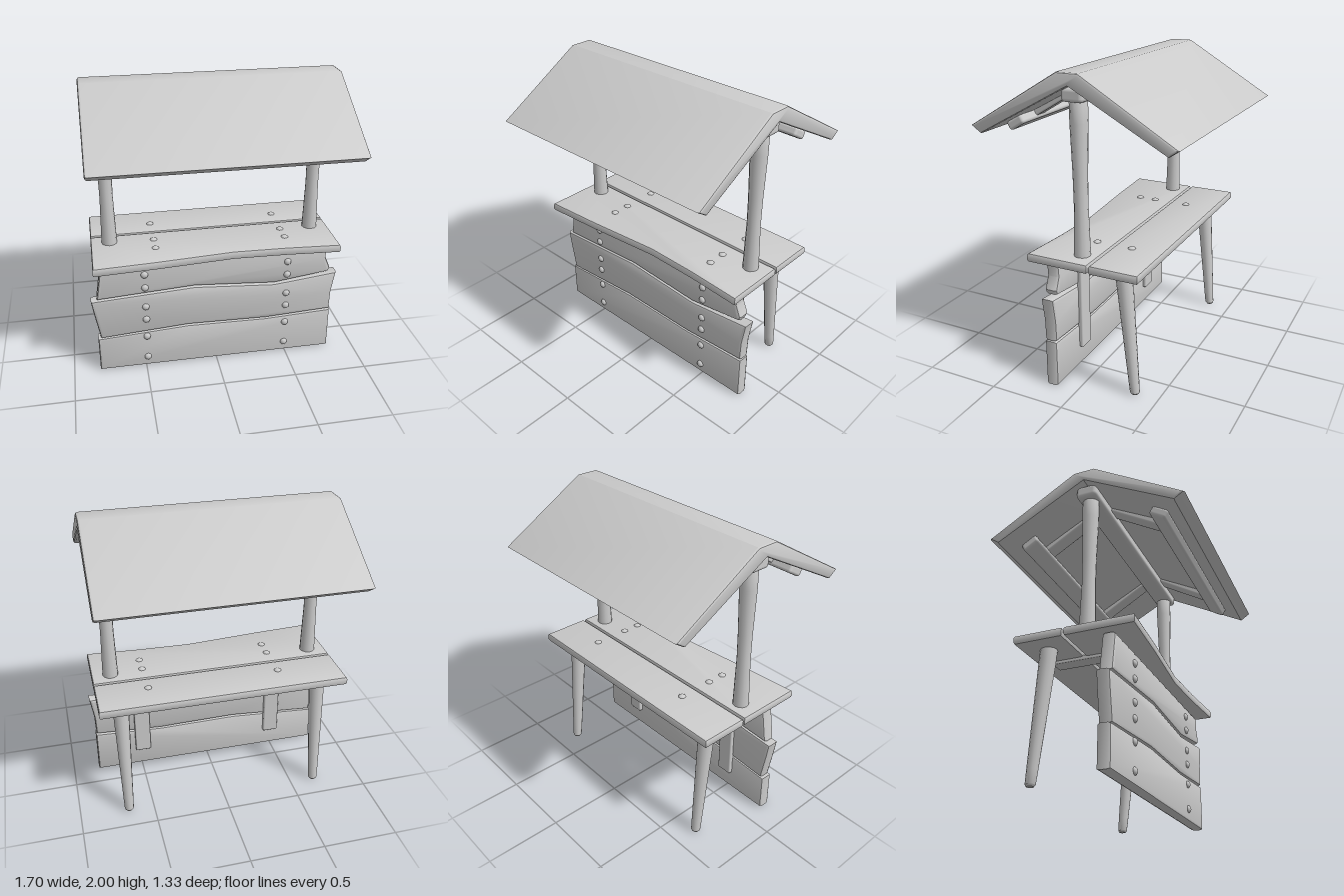
import * as THREE from 'three';
import { toCreasedNormals } from 'three/addons/utils/BufferGeometryUtils.js';
import { RoundedBoxGeometry } from 'three/addons/geometries/RoundedBoxGeometry.js';

const material = new THREE.MeshStandardMaterial({ color: 0xcccccc });

// Bevelled slab cut from an outline, centred on its thickness
function slab(points, thickness, bevel) {
  const shape = new THREE.Shape(points.map(([a, b]) => new THREE.Vector2(a, b)));
  const depth = thickness - 2 * bevel;
  return new THREE.ExtrudeGeometry(shape, {
    depth, bevelThickness: bevel, bevelSize: bevel, bevelOffset: -bevel, bevelSegments: 2,
  }).translate(0, 0, -depth / 2);
}

// Round timber turned from [radius, height] pairs
function turned(profile) {
  const points = profile.map(([r, y]) => new THREE.Vector2(r, y));
  return new THREE.LatheGeometry(points, 12);
}

export function createModel() {
  const model = new THREE.Group();

  function add(name, geometry, x = 0, y = 0, z = 0, rotX = 0, crease = 0.6) {
    const mesh = new THREE.Mesh(crease ? toCreasedNormals(geometry, crease) : geometry, material);
    mesh.name = name;
    mesh.position.set(x, y, z);
    mesh.rotation.x = rotX;
    model.add(mesh);
    return mesh;
  }
  const beam = (name, w, h, d, r, x, y, z, rotX = 0) =>
    add(name, new RoundedBoxGeometry(w, h, d, 2, r), x, y, z, rotX, 0);

  // Domed nail heads
  const nailGeometry = new THREE.SphereGeometry(0.025, 10, 8);
  const nail = (name, x, y, z, facesUp) => {
    const mesh = add(name, nailGeometry, x, y, z, 0, 0);
    mesh.scale.set(1, facesUp ? 0.6 : 1, facesUp ? 1 : 0.8);
  };

  // Folded roof
  const roof = slab([
    [-0.60, 1.6], [0, 1.96], [0.60, 1.6],
    [0.665, 1.645], [0.07, 2], [-0.07, 2], [-0.665, 1.645],
  ].map(([z, y]) => [z, y === 1.96 ? 1.925 : y]), 1.64, 0.015);
  add('roof', roof.rotateY(-Math.PI / 2));

  // Ridge beam and roof framing
  beam('ridgeBeam', 1.56, 0.085, 0.14, 0.025, 0, 1.87, 0);
  const slope = Math.atan2(0.355, 0.59);
  for (const side of [1, -1]) {
    beam('purlin', 1.36, 0.06, 0.12, 0.018, 0, 1.652, side * 0.45, side * slope);
    for (const x of [-0.48, 0.48])
      beam('rafter', 0.1, 0.04, 0.46, 0.01, x, 1.768, side * 0.27, side * slope);
  }

  // Posts and splayed back legs
  const post = turned([[0, 0.85], [0.052, 0.85], [0.051, 0.92], [0.043, 1.22],
    [0.045, 1.4], [0.054, 1.7], [0.054, 1.83], [0.045, 1.845], [0, 1.845]]);
  const leg = turned([[0, 0], [0.022, 0], [0.031, 0.012], [0.034, 0.1], [0.052, 0.76], [0.053, 0.84], [0, 0.84]]);
  const p = leg.attributes.position;
  for (let i = 0; i < p.count; i++) p.setZ(i, p.getZ(i) - 0.34 + 0.09 * p.getY(i));
  for (const x of [-0.695, 0.695]) add('post', post, x);
  for (const x of [-0.67, 0.67]) add('backLeg', leg, x);

  // Countertop planks, the front one with a wavy edge; outlines in x, z
  const planks = {
    counterFrontPlank: [[-0.82, -0.095], [-0.82, 0.35], [-0.42, 0.325], [0.1, 0.28], [0.45, 0.29], [0.82, 0.315], [0.82, -0.095]],
    counterBackPlank: [[-0.82, -0.425], [-0.82, -0.108], [0.82, -0.108], [0.82, -0.425]],
  };
  for (const [name, outline] of Object.entries(planks)) {
    const shape = outline.map(([x, z]) => [x, -z]);
    add(name, slab(shape, 0.06, 0.016).rotateX(-Math.PI / 2), 0, 0.86, 0);
  }

  // Front boards, outlines in x, y
  const boards = {
    lowerBoard: [[-0.82, 0.005], [0.82, 0.005], [0.82, 0.315], [0.35, 0.293], [-0.2, 0.302], [-0.82, 0.262]],
    middleBoard: [[-0.8, 0.265], [-0.2, 0.308], [0.35, 0.297], [0.815, 0.322], [0.82, 0.46], [0.845, 0.618],
      [0.4, 0.568], [-0.15, 0.607], [-0.85, 0.563], [-0.835, 0.46]],
    upperBoard: [[-0.81, 0.573], [-0.15, 0.615], [0.4, 0.578], [0.785, 0.63], [0.795, 0.66], [0.762, 0.74],
      [0.768, 0.82], [-0.772, 0.82]],
  };
  for (const [name, outline] of Object.entries(boards))
    add(name, slab(outline, 0.088, 0.02), 0, 0, 0.172);

  // Battens and nails on both sides
  for (const side of [-1, 1]) {
    beam('frontBatten', 0.11, 0.61, 0.036, 0.01, side * 0.488, 0.445, 0.12);
    beam('counterBatten', 0.1, 0.03, 0.4, 0.006, side * 0.47, 0.826, -0.12);
    for (const y of [0.08, 0.25, 0.39, 0.49, 0.64, 0.74])
      nail('frontNail', side * 0.488, y, 0.215, false);
    for (const z of [0.135, 0.015, -0.225])
      nail('counterNail', side * 0.44 + 0.04, 0.888, z, true);
  }
  return model;
}
